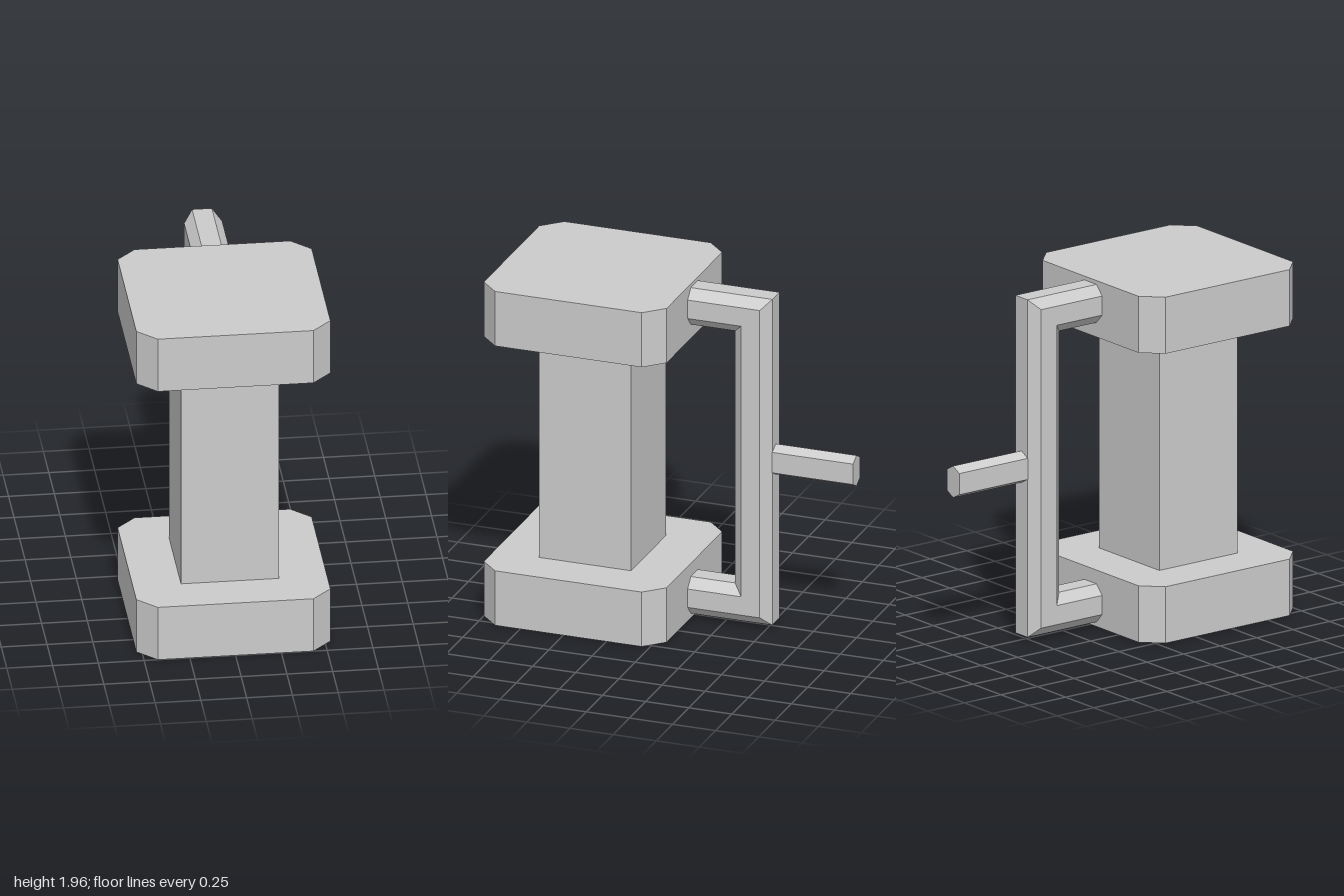
import * as THREE from 'three';

const material = new THREE.MeshStandardMaterial({ color: 0xcccccc, flatShading: true });

function part(name, geometry, x = 0, y = 0, z = 0) {
  const mesh = new THREE.Mesh(geometry, material);
  mesh.name = name;
  mesh.position.set(x, y, z);
  return mesh;
}

// Outline of a rectangle with its corners cut off, counter-clockwise
function cutRectangle(w, h, cx, cy) {
  return [
    [w, cy - h], [w, h - cy], [w - cx, h], [cx - w, h],
    [-w, h - cy], [-w, cy - h], [cx - w, -h], [w - cx, -h],
  ];
}

function prism(outline, depth) {
  const shape = new THREE.Shape(outline.map(([x, y]) => new THREE.Vector2(x, y)));
  return new THREE.ExtrudeGeometry(shape, { depth, bevelEnabled: false });
}

// Octagonal bar swept along a C-shaped path with mitred corners
function bracketGeometry() {
  const section = cutRectangle(0.104, 0.108, 0.05, 0.054);
  // path points (y, z) and the outward direction of the section there
  const path = [
    { y: 1.83, z: -0.05, dy: 1, dz: 0 },
    { y: 1.83, z: -0.424, dy: 1, dz: -1 },
    { y: 0.134, z: -0.424, dy: -1, dz: -1 },
    { y: 0.134, z: -0.05, dy: -1, dz: 0 },
  ];
  const rings = path.map((p) => section.map(([x, n]) => [x, p.y + n * p.dy, p.z + n * p.dz]));
  const positions = [];
  for (let i = 0; i < rings.length - 1; i++) {
    for (let k = 0; k < section.length; k++) {
      const next = (k + 1) % section.length;
      const a = rings[i][k], b = rings[i][next];
      const c = rings[i + 1][k], d = rings[i + 1][next];
      positions.push(...a, ...c, ...b, ...b, ...c, ...d);
    }
  }
  const geometry = new THREE.BufferGeometry();
  geometry.setAttribute('position', new THREE.Float32BufferAttribute(positions, 3));
  geometry.computeVertexNormals();
  return geometry;
}

export function createModel() {
  const model = new THREE.Group();
  model.name = 'mallet';

  // Two chamfered end blocks joined by a square column
  const block = prism(cutRectangle(0.53, 0.53, 0.105, 0.105), 0.32).rotateX(-Math.PI / 2);
  model.add(part('lowerBlock', block, 0, 0, 0.47));
  model.add(part('upperBlock', block, 0, 1.64, 0.47));
  model.add(part('column', new THREE.BoxGeometry(0.535, 1.32, 0.535), 0, 0.98, 0.473));

  // Rear bracket
  model.add(part('bracket', bracketGeometry()));

  // Six-sided peg sticking out of the bracket
  const hexagon = [
    [0.055, -0.06], [0.055, 0.06], [0, 0.09],
    [-0.055, 0.06], [-0.055, -0.06], [0, -0.09],
  ];
  model.add(part('peg', prism(hexagon, 0.47), 0, 0.98, -1));

  return model;
}
